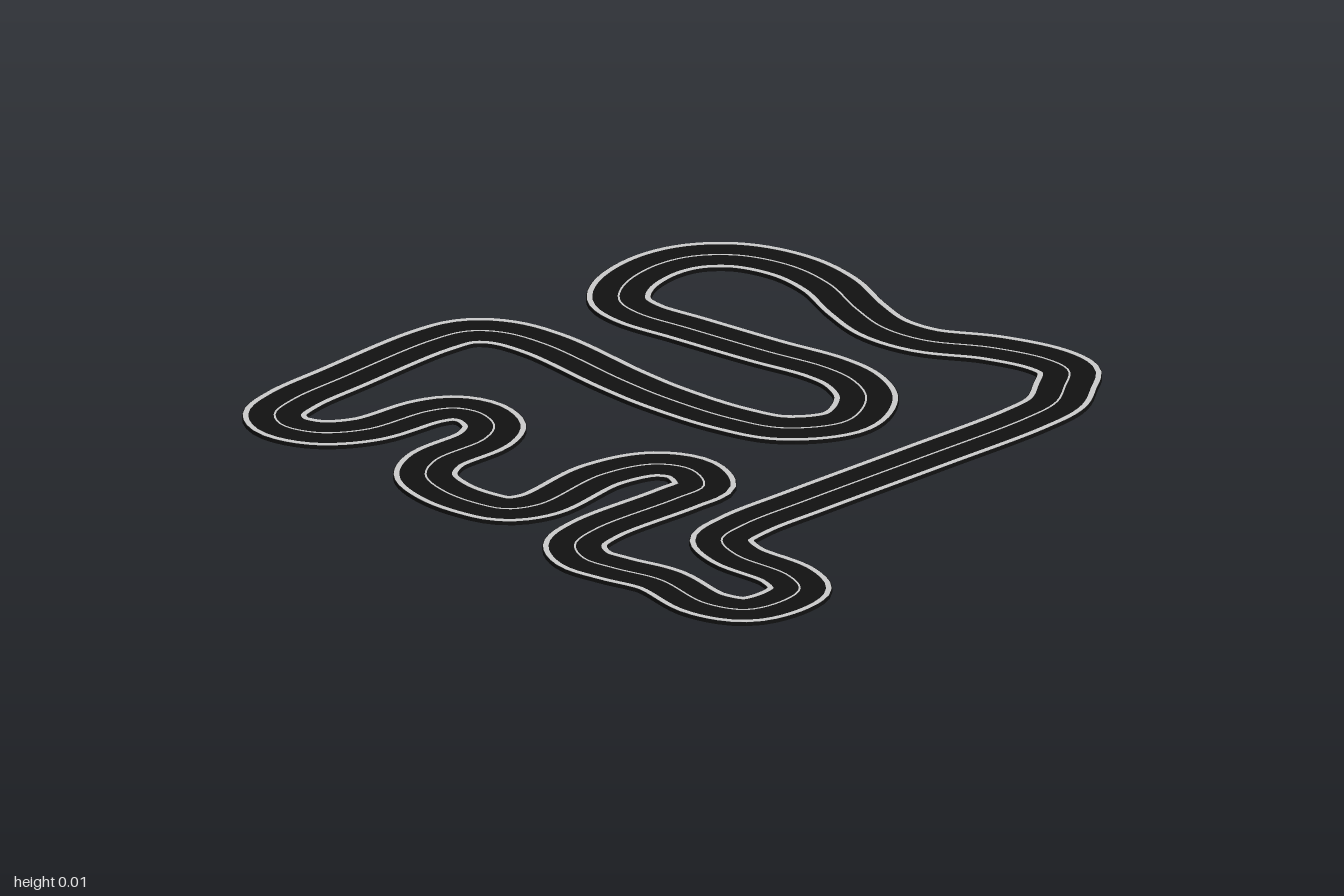
import * as THREE from 'three';

// Centre line of the circuit as x, z pairs
const PATH = [
  [-0.42, 0.49], [-0.2, 0.487], [0.2, 0.49], [0.56, 0.49], [0.69, 0.47], [0.78, 0.41], [0.86, 0.34],
  [0.87, 0.25], [0.82, 0.1], [0.73, -0.05], [0.71, -0.18], [0.745, -0.32], [0.805, -0.48], [0.817, -0.63],
  [0.77, -0.77], [0.68, -0.85], [0.57, -0.873], [0.43, -0.84], [0.345, -0.77], [0.325, -0.68],
  [0.35, -0.52], [0.39, -0.28], [0.427, -0.1], [0.42, 0.01], [0.36, 0.12], [0.22, 0.188], [0.08, 0.11],
  [0.025, -0.03], [-0.002, -0.24], [-0.002, -0.4], [0.016, -0.7], [-0.01, -0.83], [-0.07, -0.897],
  [-0.18, -0.917], [-0.5, -0.9], [-0.69, -0.885], [-0.79, -0.85], [-0.827, -0.78], [-0.795, -0.685],
  [-0.69, -0.615], [-0.5, -0.593], [-0.435, -0.56], [-0.41, -0.495], [-0.44, -0.41], [-0.52, -0.363],
  [-0.7, -0.352], [-0.79, -0.295], [-0.825, -0.19], [-0.82, -0.08], [-0.79, 0.0], [-0.71, 0.037],
  [-0.46, 0.008], [-0.32, 0.05], [-0.275, 0.135], [-0.325, 0.24], [-0.43, 0.25], [-0.71, 0.25],
  [-0.82, 0.285], [-0.868, 0.37], [-0.855, 0.47], [-0.823, 0.6], [-0.845, 0.79], [-0.8, 0.89],
  [-0.705, 0.915], [-0.61, 0.89], [-0.568, 0.8], [-0.573, 0.62], [-0.53, 0.52],
];
const SEGMENTS = 480;
const HALF = 0.083, THICK = 0.01;

const curve = new THREE.CatmullRomCurve3(PATH.map(([x, z]) => new THREE.Vector3(x, 0, z)), true);
const up = new THREE.Vector3(0, 1, 0);
const frames = Array.from({ length: SEGMENTS }, (_, i) => {
  const t = i / SEGMENTS;
  return { p: curve.getPointAt(t), side: curve.getTangentAt(t).cross(up).normalize() };
});

// Sweep a counter-clockwise rectangular section around the closed course
function sweep(name, inner, outer, bottom, top, color) {
  const section = [[inner, bottom], [outer, bottom], [outer, top], [inner, top]];
  const at = (f, [s, y]) => [f.p.x + f.side.x * s, y, f.p.z + f.side.z * s];
  const pos = [];
  frames.forEach((f, i) => {
    const g = frames[(i + 1) % SEGMENTS];
    section.forEach((a, k) => {
      const b = section[(k + 1) % section.length];
      pos.push(...at(f, a), ...at(g, a), ...at(g, b), ...at(f, a), ...at(g, b), ...at(f, b));
    });
  });
  const geo = new THREE.BufferGeometry();
  geo.setAttribute('position', new THREE.Float32BufferAttribute(pos, 3));
  geo.computeVertexNormals();
  const mesh = new THREE.Mesh(geo, new THREE.MeshStandardMaterial({ color }));
  mesh.name = name;
  return mesh;
}

export function createModel() {
  const group = new THREE.Group();
  group.name = 'raceTrack';
  const lift = THICK + 0.001;
  // Asphalt slab
  group.add(sweep('asphalt', -HALF, HALF, 0, THICK, 0x111111));
  // Pale borders along both edges
  group.add(sweep('leftBorder', -HALF + 0.002, -0.067, THICK, lift, 0xcccccc));
  group.add(sweep('rightBorder', 0.067, HALF - 0.002, THICK, lift, 0xcccccc));
  // Thin centre marking
  group.add(sweep('centreLine', -0.0025, 0.0025, THICK, lift, 0xcccccc));
  return group;
}
